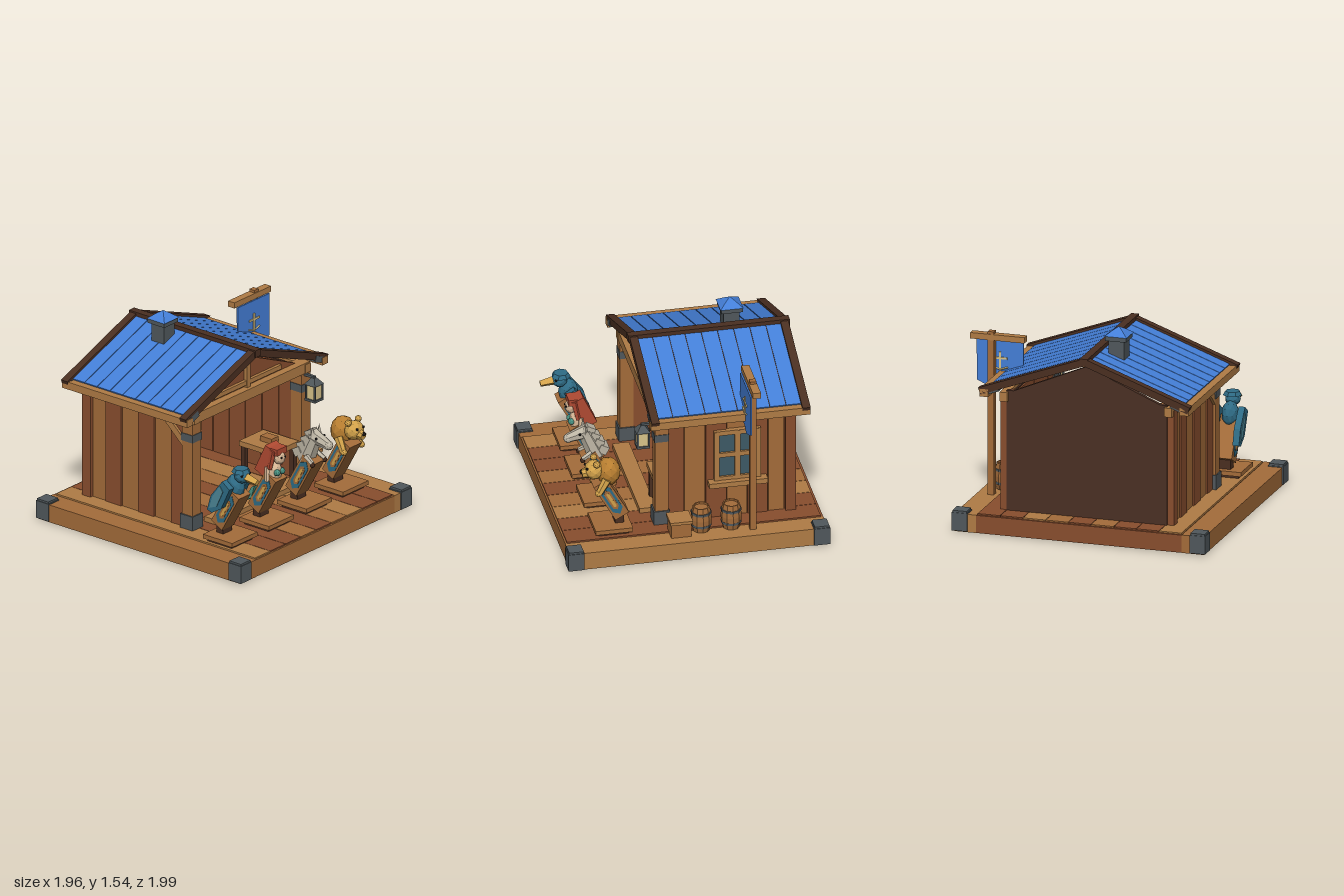
import * as THREE from 'three';

const C = { tan: 0xb07c45, mid: 0xa46c3a, red: 0x894e2e, dark: 0x4a2f21, core: 0x4a3024, blue: 0x447fd8, steel: 0x50585c,
  teal: 0x2f6c86, aqua: 0x4d8797, sea: 0x4b9484, yellow: 0xd2a24a, gold: 0xb87e30, skin: 0xd8b795, hair: 0xb04a32,
  white: 0xbdb5a4, glass: 0xd9c48a, pane: 0x3d5a66, black: 0x1c1a1a };
const mats = {};
const mat = c => mats[c] ??= new THREE.MeshStandardMaterial({ color: C[c], flatShading: true });

function add(parent, name, geo, color, x = 0, y = 0, z = 0) {
  const m = new THREE.Mesh(geo, mat(color));
  m.name = name;
  m.position.set(x, y, z);
  parent.add(m);
  return m;
}
// box given by its limits
const box = (p, name, color, x0, x1, y0, y1, z0, z1) =>
  add(p, name, new THREE.BoxGeometry(x1 - x0, y1 - y0, z1 - z0), color, (x0 + x1) / 2, (y0 + y1) / 2, (z0 + z1) / 2);
// flat outline in XY with thickness along z
function plate(p, name, color, pts, depth, z = 0) {
  const g = new THREE.ExtrudeGeometry(new THREE.Shape(pts.map(a => new THREE.Vector2(...a))), { depth, bevelEnabled: false });
  return add(p, name, g.translate(0, 0, -depth / 2), color, 0, 0, z);
}
// flat outline whose points are (z, y), facing x
function sidePlate(p, name, color, pts, depth, x) {
  const m = plate(p, name, color, pts, depth);
  m.rotation.y = -Math.PI / 2;
  m.position.x = x;
}
// tapered rod between two points
function limb(p, name, color, a, b, r0, r1, sides = 7) {
  const A = new THREE.Vector3(...a), B = new THREE.Vector3(...b), d = B.clone().sub(A);
  const m = add(p, name, new THREE.CylinderGeometry(r1, r0, d.length(), sides), color);
  m.position.copy(A).add(B).multiplyScalar(0.5);
  m.quaternion.setFromUnitVectors(new THREE.Vector3(0, 1, 0), d.normalize());
}
function ball(p, name, color, x, y, z, rx, ry = rx, rz = rx) {
  add(p, name, new THREE.IcosahedronGeometry(1, 1), color, x, y, z).scale.set(rx, ry, rz);
}
function group(p, name, z = 0) {
  const g = new THREE.Group();
  g.name = name;
  g.position.z = z;
  p.add(g);
  return g;
}
// four-sided frustum aligned with the axes
const square = (r0, r1, h) => new THREE.CylinderGeometry(r0, r1, h, 4).rotateY(Math.PI / 4);
const hutZ = 0.017;

function buildBase(root) {
  const g = group(root, 'base');
  box(g, 'baseCore', 'core', -0.95, 0.95, 0, 0.135, -0.93, 0.95);
  box(g, 'frontBeam', 'mid', -0.97, 0.97, 0.005, 0.142, 0.805, 0.98);
  box(g, 'rearBeam', 'tan', -0.97, 0.97, 0.005, 0.142, -0.952, -0.785);
  box(g, 'sideBeam', 'mid', 0.95, 0.968, 0.005, 0.14, -0.85, 0.87);
  box(g, 'sideBeam', 'red', -0.968, -0.95, 0.005, 0.14, -0.85, 0.87);
  ['red', 'red', 'tan', 'mid', 'red', 'mid', 'red', 'red', 'tan'].forEach((c, i) => {
    const z = -0.78 + i * 0.1755;
    box(g, 'floorPlank', c, -0.95, 0.955, 0.12, 0.15, z + 0.002, z + 0.1735);
  });
  for (const x of [-0.922, 0.922]) for (const z of [0.93, -0.91]) {
    box(g, 'cornerCap', 'steel', x - 0.06, x + 0.06, 0.012, 0.15, z - 0.06, z + 0.06);
    box(g, 'cornerCapLid', 'steel', x - 0.055, x + 0.055, 0.15, 0.165, z - 0.055, z + 0.055);
  }
}

function buildHut(root) {
  const g = group(root, 'hut', hutZ);
  const seams = [-0.79, -0.71, -0.585, -0.43, -0.275, -0.115, 0.045, 0.19];
  for (const s of [-1, 1]) {
    box(g, 'wallCore', 'core', -0.79, 0.18, 0.15, 1.04, s * 0.605 - 0.012, s * 0.605 + 0.012);
    for (let i = 0; i < 7; i++) {
      const out = s * (i % 2 ? 0.625 : 0.635), c = i % 2 ? 'mid' : 'red';
      box(g, 'wallPlank', c, seams[i] + 0.003, seams[i + 1] - 0.003, 0.148, 1.03, out - 0.02, out + 0.02);
      box(g, 'innerPlank', 'red', seams[i] + 0.003, seams[i + 1] - 0.003, 0.15, 1.03, s * 0.59 - 0.01, s * 0.59 + 0.01);
    }
    // posts and bands
    box(g, 'rearPost', 'red', -0.79, -0.712, 0.15, 1.03, s * 0.632 - 0.04, s * 0.632 + 0.04);
    box(g, 'openingPost', 'mid', 0.168, 0.268, 0.15, 1.04, s * 0.625 - 0.05, s * 0.625 + 0.05);
    box(g, 'postFoot', 'steel', 0.158, 0.278, 0.15, 0.26, s * 0.625 - 0.06, s * 0.625 + 0.06);
    box(g, 'postBand', 'steel', 0.163, 0.273, 0.845, 0.905, s * 0.625 - 0.055, s * 0.625 + 0.055);
    box(g, 'wallPlate', 'tan', -0.83, 0.28, 0.99, 1.06, s * 0.636 - 0.03, s * 0.636 + 0.03);
  }
  plate(g, 'brace', 'tan', [[-0.05, 1], [0.03, 1], [0.17, 0.87], [0.17, 0.8]], 0.04, 0.655);
  // closed end wall with planked inside
  box(g, 'endWall', 'core', -0.8, -0.765, 0.15, 1.07, -0.62, 0.62);
  for (let i = 0; i < 8; i++) {
    const z = -0.605 + i * 0.155;
    box(g, 'innerPlank', i % 2 ? 'mid' : 'red', -0.765, -0.75, 0.15, 1.07, z + 0.003, Math.min(z + 0.152, 0.6));
  }
  // gables and truss
  const tri = [[-0.59, 1.06], [0.59, 1.06], [0, 1.31]];
  sidePlate(g, 'gable', 'red', tri, 0.03, 0.2);
  sidePlate(g, 'gable', 'core', tri, 0.03, -0.785);
  box(g, 'tieBeam', 'tan', 0.17, 0.275, 0.99, 1.07, -0.662, 0.662);
  box(g, 'kingPost', 'tan', 0.2, 0.245, 1.07, 1.305, -0.02, 0.02);
  box(g, 'collarBeam', 'tan', 0.2, 0.24, 1.09, 1.125, -0.38, 0.38);
  box(g, 'doorStep', 'tan', 0.22, 0.345, 0.15, 0.188, -0.49, 0.483);
  // bench and table inside
  box(g, 'benchFront', 'red', -0.73, -0.47, 0.15, 0.45, -0.265, 0.445);
  box(g, 'benchTop', 'tan', -0.74, -0.45, 0.45, 0.52, -0.285, 0.465);
  box(g, 'tableTop', 'tan', -0.09, 0.25, 0.42, 0.46, -0.565, -0.285);
  for (const x of [-0.06, 0.22]) for (const z of [-0.535, -0.315]) box(g, 'tableLeg', 'dark', x - 0.018, x + 0.018, 0.15, 0.42, z - 0.018, z + 0.018);
  box(g, 'woodBlock', 'mid', 0.03, 0.14, 0.46, 0.5, -0.465, -0.385);
  // window in the back wall
  const w = group(g, 'window', 0.015);
  box(w, 'pane', 'pane', -0.51, -0.19, 0.48, 0.86, -0.68, -0.655);
  for (const x of [-0.505, -0.35, -0.195]) box(w, 'windowUpright', 'tan', x - 0.02, x + 0.02, 0.46, 0.88, -0.7, -0.65);
  for (const y of [0.48, 0.68, 0.865]) box(w, 'windowBar', 'tan', -0.525, -0.175, y - 0.018, y + 0.018, -0.697, -0.65);
  box(w, 'windowSill', 'tan', -0.57, -0.13, 0.43, 0.47, -0.74, -0.65);
}

function buildRoof(root) {
  const g = group(root, 'roof', hutZ);
  for (const s of [-1, 1]) {
    const half = group(g, 'roofSide');
    half.position.y = 1.362;
    half.rotation.x = s * 0.351;
    const slab = (name, c, x0, x1, y0, y1, a, b) => box(half, name, c, x0, x1, y0, y1, Math.min(s * a, s * b), Math.max(s * a, s * b));
    slab('roofDeck', 'blue', -0.82, 0.27, -0.02, -0.006, 0, 0.797);
    for (let i = 0; i < 9; i++) {
      const x = -0.82 + i * 0.1215;
      slab('roofPlank', 'blue', x + 0.003, x + 0.1185, -0.008, 0.008, 0, 0.8);
      if (i) slab('roofGap', 'dark', x - 0.003, x + 0.003, -0.006, 0.002, 0, 0.798);
    }
    for (const x of [-0.84, 0.292]) {
      slab('bargeBoard', 'dark', x - 0.03, x + 0.03, -0.028, 0.026, 0, 0.862);
      slab('bargeCap', 'steel', x - 0.025, x + 0.033, -0.042, 0.005, 0.72, 0.855);
    }
    box(g, 'eaveBeam', 'tan', -0.87, 0.328, 1.025, 1.084, s * 0.774 - 0.034, s * 0.774 + 0.034);
  }
  box(g, 'ridgeBeam', 'dark', -0.88, 0.333, 1.335, 1.39, -0.03, 0.03);
  // chimney
  const c = group(root, 'chimneyStack');
  box(c, 'chimney', 'steel', -0.525, -0.405, 1.26, 1.44, 0.095, 0.215);
  box(c, 'chimneyRim', 'steel', -0.545, -0.385, 1.44, 1.475, 0.075, 0.235);
  add(c, 'chimneyCap', square(0.062, 0.122, 0.032), 'blue', -0.463, 1.491, 0.155);
  add(c, 'chimneyCapTop', square(0.001, 0.066, 0.03), 'blue', -0.463, 1.521, 0.155);
}

function buildProps(root) {
  // hanging lantern
  const l = group(root, 'lantern');
  l.position.set(0.352, 0, -0.6);
  box(l, 'lanternArm', 'steel', -0.1, 0.01, 0.97, 0.988, -0.012, 0.012);
  add(l, 'lanternGlass', square(0.055, 0.055, 0.12), 'glass', 0, 0.87, 0);
  add(l, 'lanternFoot', square(0.07, 0.07, 0.018), 'steel', 0, 0.805, 0);
  add(l, 'lanternRoof', square(0.02, 0.075, 0.05), 'steel', 0, 0.95, 0);
  for (const x of [-0.042, 0.042]) for (const z of [-0.042, 0.042]) box(l, 'lanternRod', 'steel', x - 0.006, x + 0.006, 0.81, 0.93, z - 0.006, z + 0.006);
  // sign post with banner
  const s = group(root, 'signPost');
  box(s, 'pole', 'mid', -0.45, -0.402, 0.14, 1.395, -0.865, -0.818);
  box(s, 'crossBeam', 'tan', -0.455, -0.395, 1.33, 1.375, -1, -0.58);
  sidePlate(s, 'banner', 'blue', [[-0.605, 1.33], [-0.97, 1.33], [-0.965, 1], [-0.89, 0.965], [-0.82, 0.94], [-0.76, 0.975], [-0.68, 0.985], [-0.61, 0.985]], 0.012, -0.388);
  for (const x of [-0.378, -0.397]) {
    box(s, 'bannerUpright', 'glass', x - 0.004, x + 0.004, 1.09, 1.23, -0.795, -0.78);
    box(s, 'bannerBar', 'glass', x - 0.004, x + 0.004, 1.175, 1.19, -0.85, -0.73);
    for (const k of [-1, 1]) limb(s, 'bannerHook', 'glass', [x, 1.095, -0.787], [x, 1.115, -0.787 + k * 0.06], 0.007, 0.007, 4);
  }
  // barrels
  for (const x of [-0.275, -0.05]) {
    const b = group(root, 'barrel');
    b.position.set(x, 0.148, -0.79);
    const prof = [[0, 0], [0.062, 0], [0.076, 0.06], [0.078, 0.1], [0.074, 0.14], [0.062, 0.2], [0.053, 0.2], [0.053, 0.185], [0, 0.185]];
    add(b, 'staves', new THREE.LatheGeometry(prof.map(p => new THREE.Vector2(...p)), 10), 'mid');
    for (const y of [0.05, 0.15]) add(b, 'hoop', new THREE.CylinderGeometry(0.077, 0.077, 0.018, 10), 'steel', 0, y, 0);
  }
  box(root, 'crate', 'mid', 0.04, 0.19, 0.142, 0.255, -0.87, -0.73);
  box(root, 'crateLid', 'tan', 0.03, 0.2, 0.255, 0.278, -0.885, -0.72);
}

// stand with a leaning, inlaid board; returns a group for the carved figure
function stand(root, name, z) {
  const g = group(root, name, z);
  box(g, 'standPlate', 'mid', 0.455, 0.735, 0.172, 0.205, -0.145, 0.145);
  box(g, 'standFoot', 'dark', 0.48, 0.71, 0.148, 0.172, -0.12, 0.12);
  box(g, 'standStub', 'dark', 0.505, 0.57, 0.2, 0.3, -0.05, 0.05);
  const b = group(g, 'leaningBoard');
  b.position.set(0.52, 0.268, 0);
  b.rotation.z = -0.51;
  box(b, 'board', 'mid', -0.058, 0.058, 0, 0.335, -0.068, 0.068);
  const hex = (w, y0, y1) => [[-w, y0 + w], [0, y0], [w, y0 + w], [w, y1 - w], [0, y1], [-w, y1 - w]];
  plate(b, 'inlay', 'teal', hex(0.042, 0.03, 0.31), 0.143);
  plate(b, 'inlayInner', 'mid', hex(0.024, 0.075, 0.265), 0.147);
  plate(b, 'inlayCentre', 'yellow', hex(0.011, 0.1, 0.24), 0.15);
  return g;
}

function buildFigures(root) {
  const both = f => [-1, 1].forEach(f);
  // bird
  const bird = stand(root, 'birdFigure', 0.65);
  ball(bird, 'birdBody', 'teal', 0.645, 0.59, 0, 0.075, 0.1, 0.065);
  ball(bird, 'birdHead', 'teal', 0.71, 0.69, 0, 0.06, 0.055, 0.06);
  add(bird, 'birdCrest', new THREE.CylinderGeometry(0.055, 0.072, 0.03, 7), 'teal', 0.7, 0.735, 0);
  limb(bird, 'beak', 'yellow', [0.75, 0.69, 0], [0.855, 0.672, 0], 0.038, 0.026, 4);
  both(s => {
    plate(bird, 'wing', 'teal', [[0.62, 0.66], [0.69, 0.61], [0.61, 0.44], [0.52, 0.385], [0.475, 0.4], [0.51, 0.52]], 0.05, s * 0.098);
    plate(bird, 'wingFeathers', 'aqua', [[0.6, 0.62], [0.63, 0.58], [0.57, 0.45], [0.5, 0.42], [0.53, 0.52]], 0.02, s * 0.118);
    ball(bird, 'eye', 'black', 0.745, 0.71, s * 0.045, 0.01);
  });
  // sea maiden
  const maid = stand(root, 'seaMaidenFigure', 0.23);
  ball(maid, 'torso', 'skin', 0.665, 0.585, 0, 0.06, 0.085, 0.06);
  ball(maid, 'maidenHead', 'skin', 0.715, 0.705, 0, 0.045, 0.055, 0.045);
  box(maid, 'hairTop', 'hair', 0.64, 0.74, 0.735, 0.785, -0.058, 0.058);
  const mane = box(maid, 'hairBack', 'hair', -0.05, 0.05, -0.12, 0.12, -0.062, 0.062);
  mane.position.set(0.625, 0.67, 0);
  mane.rotation.z = -0.45;
  plate(maid, 'tailFin', 'sea', [[0.465, 0.32], [0.5, 0.35], [0.53, 0.45], [0.5, 0.43], [0.47, 0.38]], 0.13);
  both(s => {
    limb(maid, 'hairLock', 'hair', [0.7, 0.77, s * 0.052], [0.67, 0.62, s * 0.058], 0.025, 0.02, 5);
    limb(maid, 'arm', 'skin', [0.65, 0.63, s * 0.06], [0.66, 0.52, s * 0.078], 0.02, 0.016, 5);
    ball(maid, 'shellTop', 'sea', 0.715, 0.59, s * 0.027, 0.026);
    ball(maid, 'eye', 'black', 0.753, 0.715, s * 0.02, 0.008);
  });
  // horse
  const horse = stand(root, 'horseFigure', -0.2);
  limb(horse, 'neck', 'white', [0.61, 0.53, 0], [0.7, 0.735, 0], 0.072, 0.055);
  limb(horse, 'horseHead', 'white', [0.68, 0.735, 0], [0.83, 0.69, 0], 0.058, 0.034);
  ball(horse, 'muzzle', 'white', 0.825, 0.69, 0, 0.036);
  for (let i = 0; i < 4; i++) {
    const m = box(horse, 'maneTuft', 'white', -0.035, 0.035, -0.032, 0.032, -0.06 + i * 0.008, 0.06 - i * 0.008);
    m.position.set(0.57 + i * 0.032, 0.59 + i * 0.052, 0);
    m.rotation.z = 0.5;
  }
  both(s => {
    add(horse, 'ear', new THREE.ConeGeometry(0.022, 0.07, 4), 'white', 0.705, 0.785, s * 0.038);
    limb(horse, 'foreleg', 'white', [0.66, 0.58, s * 0.06], [0.73, 0.54, s * 0.07], 0.022, 0.018, 5);
    ball(horse, 'hoof', 'dark', 0.73, 0.53, s * 0.07, 0.02);
    ball(horse, 'eye', 'black', 0.745, 0.735, s * 0.046, 0.01);
  });
  // bear
  const bear = stand(root, 'bearFigure', -0.62);
  ball(bear, 'bearBody', 'gold', 0.61, 0.625, 0, 0.09, 0.11, 0.098);
  ball(bear, 'bearHead', 'yellow', 0.72, 0.65, 0, 0.07, 0.075, 0.08);
  limb(bear, 'snout', 'yellow', [0.75, 0.635, 0], [0.81, 0.625, 0], 0.045, 0.032);
  ball(bear, 'nose', 'black', 0.812, 0.642, 0, 0.016);
  both(s => {
    ball(bear, 'ear', 'yellow', 0.71, 0.72, s * 0.058, 0.026);
    limb(bear, 'foreleg', 'yellow', [0.64, 0.6, s * 0.085], [0.7, 0.5, s * 0.1], 0.035, 0.026, 6);
    ball(bear, 'paw', 'yellow', 0.705, 0.5, s * 0.1, 0.026);
    ball(bear, 'eye', 'black', 0.778, 0.68, s * 0.036, 0.01);
  });
}

export function createModel() {
  const root = new THREE.Group();
  root.name = 'carverHut';
  [buildBase, buildHut, buildRoof, buildProps, buildFigures].forEach(build => build(root));
  return root;
}
